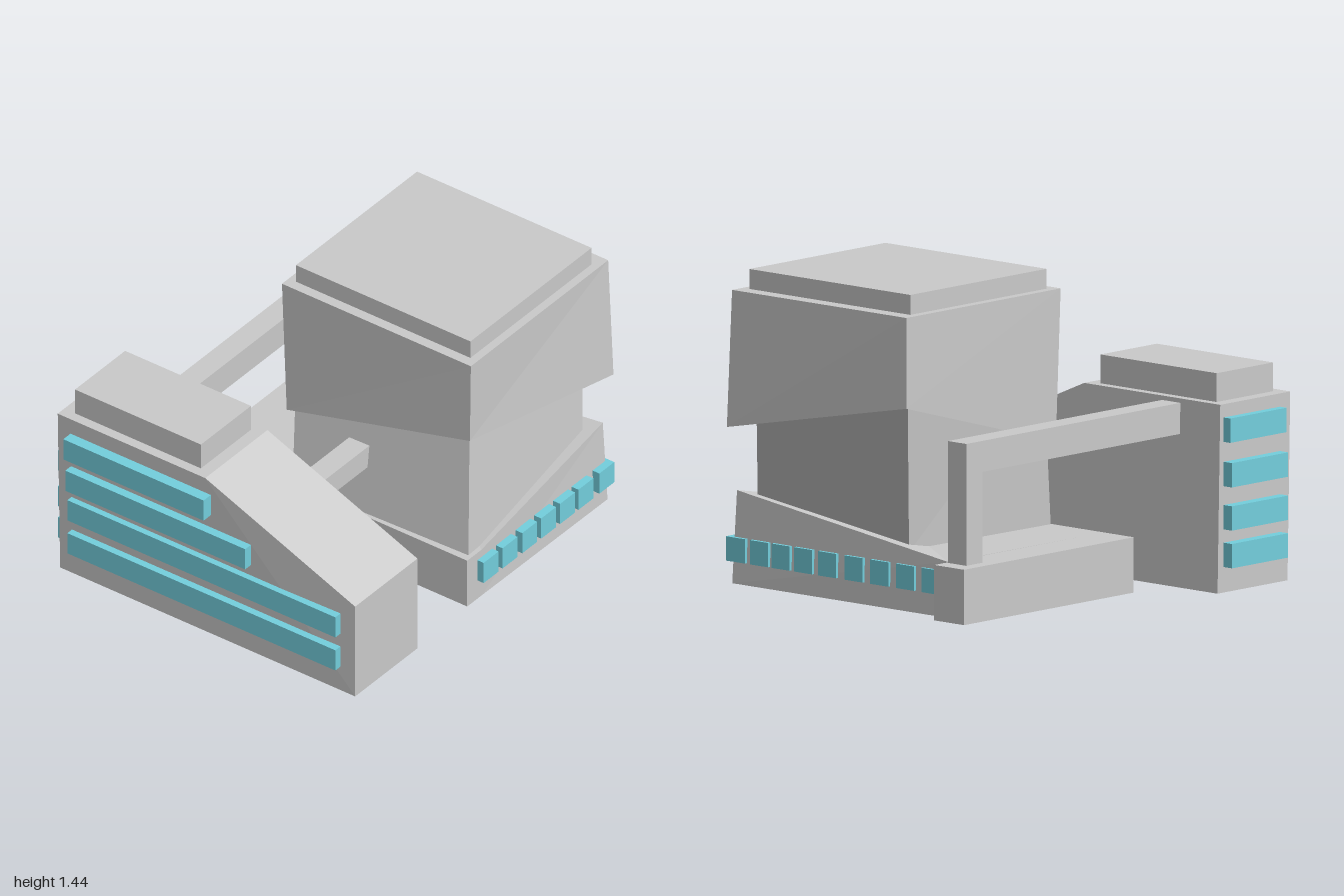
import * as THREE from 'three';

const grey = new THREE.MeshStandardMaterial({ color: 0xcccccc, flatShading: true });
const cyan = new THREE.MeshStandardMaterial({ color: 0x74d0de, flatShading: true });

// Box given by its extents on each axis
function block(name, [x0, x1], [y0, y1], [z0, z1], material = grey) {
  const mesh = new THREE.Mesh(new THREE.BoxGeometry(x1 - x0, y1 - y0, z1 - z0), material);
  mesh.position.set((x0 + x1) / 2, (y0 + y1) / 2, (z0 + z1) / 2);
  mesh.name = name;
  return mesh;
}

// Skewed block: four bottom then four top corners, each front left of the view,
// front right, back right, back left; the caps fold along their first diagonal
function skewedBlock(name, corners) {
  const faces = [[0, 3, 2, 1], [4, 5, 6, 7]];
  for (let i = 0; i < 4; i++) {
    const j = (i + 1) % 4;
    faces.push([i, j, j + 4, i + 4]);
  }
  const positions = [];
  for (const [a, b, c, d] of faces) {
    for (const k of [a, b, c, a, c, d]) positions.push(...corners[k]);
  }
  const geometry = new THREE.BufferGeometry();
  geometry.setAttribute('position', new THREE.Float32BufferAttribute(positions, 3));
  geometry.computeVertexNormals();
  const mesh = new THREE.Mesh(geometry, grey);
  mesh.name = name;
  return mesh;
}

// Long wing with a sloping front roof and strip windows
function createWing() {
  const wing = new THREE.Group();
  wing.name = 'wing';

  const profile = new THREE.Shape([
    [-0.82, 0], [0.82, 0], [0.82, 0.85], [0, 0.85], [-0.82, 0.49],
  ].map(([x, y]) => new THREE.Vector2(x, y)));
  const geometry = new THREE.ExtrudeGeometry(profile, { depth: 0.46, bevelEnabled: false });
  geometry.rotateY(Math.PI / 2);
  geometry.translate(-0.93, 0, 0);
  // the high roof leans slightly outward
  const p = geometry.attributes.position;
  for (let i = 0; i < p.count; i++) {
    if (p.getY(i) > 0.8) p.setX(i, p.getX(i) - 0.018);
  }
  geometry.computeVertexNormals();
  const hall = new THREE.Mesh(geometry, grey);
  hall.name = 'wingHall';
  wing.add(hall);
  wing.add(block('wingRoofBox', [-0.9, -0.53], [0.84, 0.98], [-0.76, -0.06]));

  // side strips [bottom, outer x, front end], then back strips
  [[0.13, -0.97, 0.74], [0.31, -0.97, 0.74], [0.48, -0.985, 0.25], [0.66, -1, 0.03]]
    .forEach(([y, x, z]) => {
      wing.add(block('sideStripWindow', [x, -0.91], [y, y + 0.11], [-0.75, z], cyan));
    });
  [0.115, 0.285, 0.48, 0.68].forEach((y, i) => {
    const back = i === 3 ? -0.86 : -0.87;
    wing.add(block('backStripWindow', [-0.88, -0.51], [y, y + 0.11], [back, -0.8], cyan));
  });
  return wing;
}

// Low base with a corner-raised deck and a row of square windows
function createBase() {
  const base = new THREE.Group();
  base.name = 'base';
  base.add(block('backSlab', [-0.115, 1], [0.03, 0.28], [-0.64, -0.46]));
  base.add(block('baseRim', [-0.115, -0.01], [0.03, 0.28], [-0.46, 0.83]));
  base.add(skewedBlock('raisedDeck', [
    [-0.01, 0.03, 0.83], [0.915, 0.03, 0.835], [0.915, 0.03, -0.46], [-0.01, 0.03, -0.46],
    [-0.01, 0.28, 0.83], [0.9, 0.45, 0.82], [0.91, 0.282, -0.46], [-0.01, 0.28, -0.46],
  ]));
  for (const x of [-0.04, 0.1, 0.245, 0.385, 0.525, 0.66]) {
    base.add(block('frontWindow', [x, x + 0.11], [0.13, 0.24], [0.8, 0.865], cyan));
  }
  for (const z of [0.61, 0.48, 0.345, 0.2, 0.04, -0.115, -0.27, -0.425]) {
    base.add(block('sideWindow', [0.88, 0.925], [0.13, 0.24], [z, z + 0.11], cyan));
  }
  base.add(block('cornerWindow', [0.815, 0.925], [0.13, 0.24], [0.75, 0.865], cyan));
  return base;
}

// Leaning shaft carrying an overhanging head
function createTower() {
  const tower = new THREE.Group();
  tower.name = 'tower';
  tower.add(skewedBlock('shaft', [
    [-0.08, 0.27, 0.81], [0.81, 0.27, 0.775], [0.8, 0.27, -0.125], [-0.11, 0.27, -0.145],
    [0.01, 1, 0.75], [0.89, 1, 0.715], [0.88, 1, -0.19], [-0.015, 1, -0.19],
  ]));
  tower.add(skewedBlock('head', [
    [-0.115, 0.94, 0.845], [0.91, 0.73, 0.872], [0.9, 0.94, -0.2], [-0.1, 0.66, -0.185],
    [-0.115, 1.35, 0.85], [0.9, 1.35, 0.85], [0.9, 1.35, -0.2], [-0.115, 1.35, -0.2],
  ]));
  tower.add(block('headCap', [-0.065, 0.83], [1.34, 1.44], [-0.16, 0.81]));
  return tower;
}

export function createModel() {
  const model = new THREE.Group();
  model.name = 'buildingComplex';
  model.add(createWing(), createBase(), createTower());
  // walkways between wing and tower, with the post under the rear one
  model.add(block('rearWalkway', [-0.5, 0.92], [0.69, 0.83], [-0.58, -0.47]));
  model.add(block('walkwayPost', [0.815, 0.92], [0.28, 0.69], [-0.58, -0.47]));
  model.add(block('innerWalkway', [-0.5, 0], [0.51, 0.62], [0.13, 0.24]));
  return model;
}
